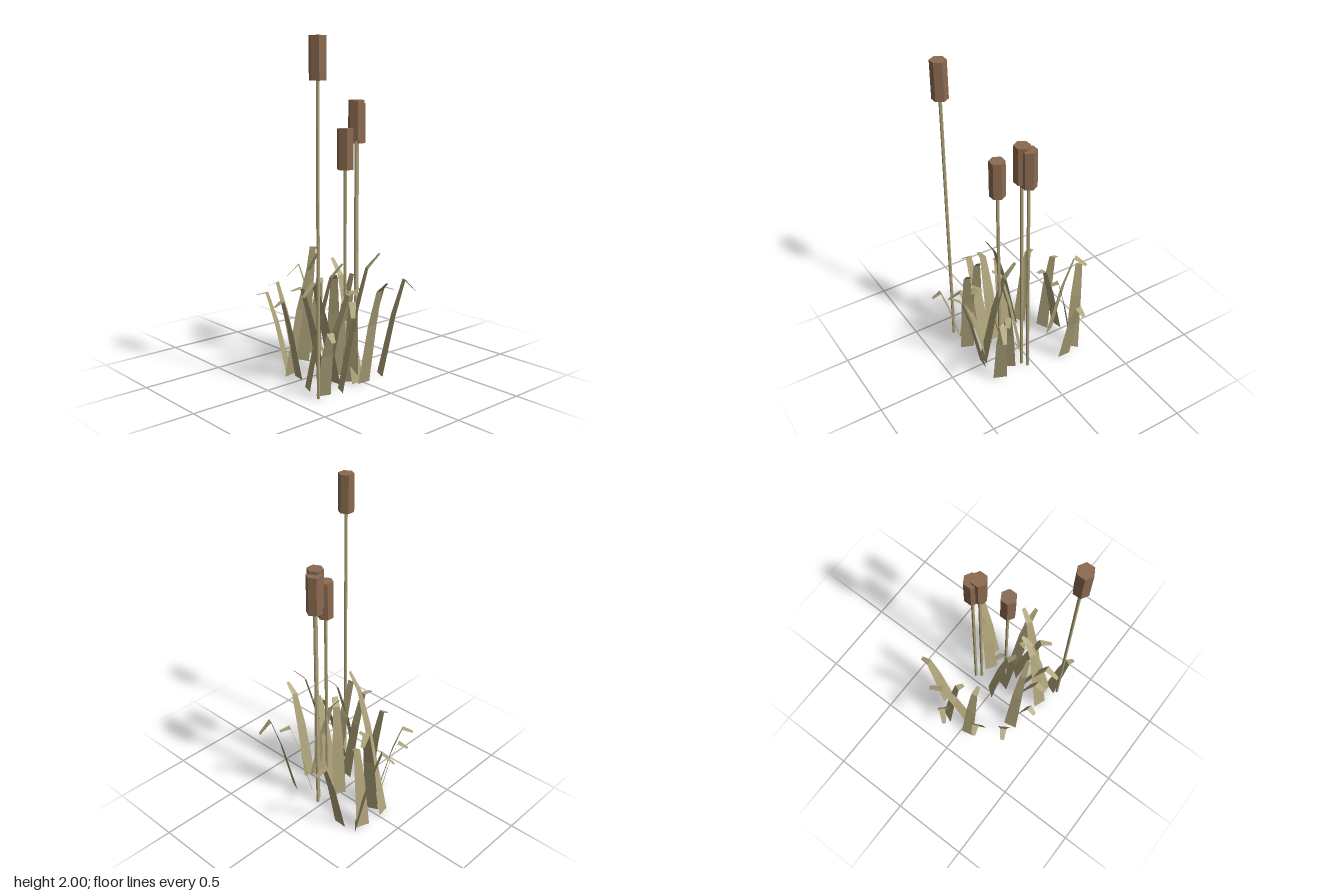
import * as THREE from 'three';

const leafMat = new THREE.MeshStandardMaterial({ color: 0xada279, side: THREE.DoubleSide, flatShading: true });
leafMat.name = 'dry reed green';
const headMat = new THREE.MeshStandardMaterial({ color: 0x8b6a50, flatShading: true });
headMat.name = 'seed head brown';

// Seed heads: x, z, bottom of head
const stalks = [
  [0.286, 0.36, 1.765],
  [0.131, 0.02, 1.25],
  [0.038, -0.162, 1.385],
  [0.062, -0.129, 1.405],
];

// Blades: base x, z | tip x, z | bend height, tip height
const blades = [
  [-0.21, -0.217, -0.205, -0.412, 0.51, 0.485],
  [-0.257, 0.025, -0.37, -0.2, 0.7, 0.67],
  [-0.3, -0.178, -0.465, -0.02, 0.58, 0.5],
  [-0.325, -0.132, -0.19, -0.078, 0.52, 0.5],
  [-0.333, 0.05, -0.152, 0.016, 0.54, 0.555],
  [-0.245, 0.09, -0.41, 0.172, 0.51, 0.48],
  [-0.147, 0.225, -0.32, 0.332, 0.49, 0.47],
  [-0.035, 0.24, -0.06, 0.396, 0.49, 0.46],
  [-0.11, 0.247, 0.107, 0.207, 0.67, 0.79],
  [-0.005, -0.007, 0.132, 0.1, 0.6, 0.64],
  [0.255, 0.03, 0.015, 0.018, 0.62, 0.71],
  [0.28, 0.19, 0.37, -0.028, 0.71, 0.79],
  [0.275, 0, 0.47, 0.011, 0.58, 0.64],
  [0.212, 0.045, 0.396, 0.2, 0.53, 0.46],
  [0.235, 0.292, 0.28, 0.04, 0.55, 0.58],
  [0.14, 0.318, 0.217, 0.117, 0.65, 0.725],
  [0.167, 0.13, 0.19, 0.388, 0.64, 0.57],
  [0.09, 0.16, 0.07, 0.375, 0.59, 0.58],
  [0.272, 0.31, 0.424, 0.368, 0.4, 0.36],
  [0.245, -0.162, 0.332, -0.37, 0.58, 0.5],
  [0.146, -0.108, 0.25, -0.273, 0.53, 0.51],
  [0.09, 0.03, 0.3, 0.085, 0.56, 0.55],
];

// Tapered flat strip through four cross-sections, leaning from base to tip
function bladeGeometry([bx, bz, tx, tz, bendY, tipY]) {
  const sections = [ // fraction of the lean, height, width
    [0, 0, 0.086],
    [0.37, bendY * 0.63, 0.066],
    [0.67, bendY, 0.042],
    [1, tipY, 0.024],
  ];
  const dx = tx - bx, dz = tz - bz, lean = Math.hypot(dx, dz);
  const positions = [], index = [];
  sections.forEach(([t, y, width], i) => {
    const x = bx + dx * t, z = bz + dz * t;
    const sx = -dz / lean * width / 2, sz = dx / lean * width / 2;
    positions.push(x - sx, y, z - sz, x + sx, y, z + sz);
    if (i < 3) {
      const a = i * 2;
      index.push(a, a + 1, a + 3, a, a + 3, a + 2);
    }
  });
  const geometry = new THREE.BufferGeometry();
  geometry.setAttribute('position', new THREE.Float32BufferAttribute(positions, 3));
  geometry.setIndex(index);
  const flat = geometry.toNonIndexed();
  flat.computeVertexNormals();
  return flat;
}

export function createModel() {
  const model = new THREE.Group();
  model.name = 'reedClump';

  // Stems with hexagonal seed heads
  const headHeight = 0.235;
  for (const [x, z, y] of stalks) {
    const stalk = new THREE.Group();
    stalk.name = 'stalk';
    stalk.position.set(x, 0, z);
    const stem = new THREE.Mesh(new THREE.CylinderGeometry(0.01, 0.01, y + 0.01, 6), leafMat);
    stem.name = 'stem';
    stem.position.y = (y + 0.01) / 2;
    const head = new THREE.Mesh(new THREE.CylinderGeometry(0.049, 0.049, headHeight, 6), headMat);
    head.name = 'seedHead';
    head.position.y = y + headHeight / 2;
    stalk.add(stem, head);
    model.add(stalk);
  }

  // Bent leaf blades
  const foliage = new THREE.Group();
  foliage.name = 'foliage';
  for (const blade of blades) {
    const mesh = new THREE.Mesh(bladeGeometry(blade), leafMat);
    mesh.name = 'leafBlade';
    foliage.add(mesh);
  }
  model.add(foliage);
  return model;
}
